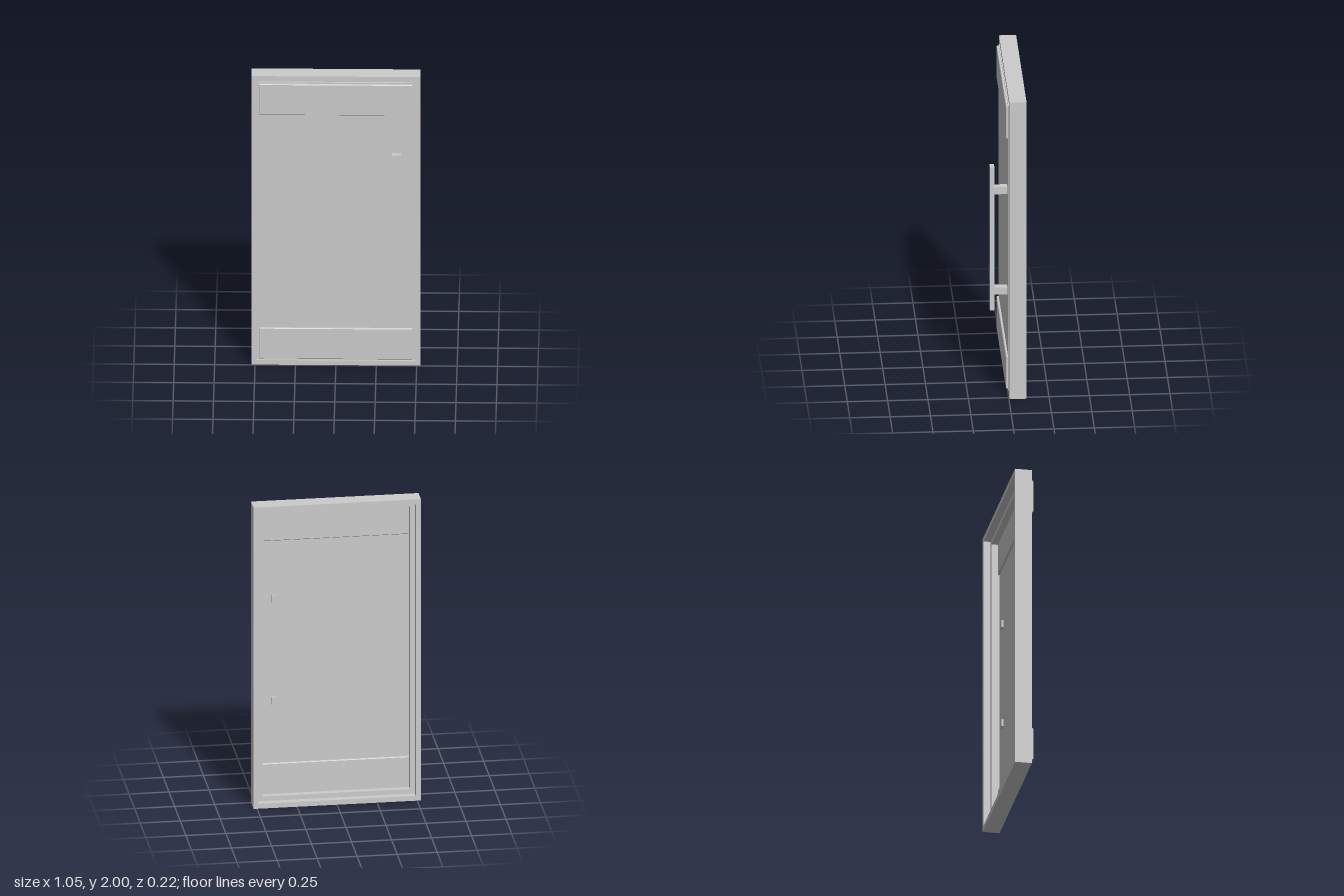
import * as THREE from 'three';

const material = new THREE.MeshStandardMaterial({ color: 0xcccccc, flatShading: true });

// Rectangle path given by its left, right, bottom and top edges
function rect(path, x0, x1, y0, y1) {
  path.moveTo(x0, y0);
  path.lineTo(x1, y0);
  path.lineTo(x1, y1);
  path.lineTo(x0, y1);
  path.closePath();
  return path;
}

function add(group, name, geometry) {
  const mesh = new THREE.Mesh(geometry, material);
  mesh.name = name;
  group.add(mesh);
  return mesh;
}

// Box given by its limits on each axis
function box(group, name, [x0, x1], [y0, y1], [z0, z1]) {
  const mesh = add(group, name, new THREE.BoxGeometry(x1 - x0, y1 - y0, z1 - z0));
  mesh.position.set((x0 + x1) / 2, (y0 + y1) / 2, (z0 + z1) / 2);
  return mesh;
}

// Rectangular ring: outer half width hw, inset from the floor and top, border width w
function ring(group, name, hw, inset, w, z0, z1) {
  const shape = rect(new THREE.Shape(), -hw, hw, inset, 2 - inset);
  shape.holes.push(rect(new THREE.Path(), -hw + w, hw - w, inset + w, 2 - inset - w));
  const geometry = new THREE.ExtrudeGeometry(shape, { depth: z1 - z0, bevelEnabled: false });
  geometry.translate(0, 0, z0);
  return add(group, name, geometry);
}

// Rail with small chamfers, clamping the leaf on both faces
function rail(group, name, y0, y1) {
  const b = 0.004, z0 = -0.026, z1 = 0.015;
  const shape = rect(new THREE.Shape(), -0.475 + b, 0.475 - b, y0 + b, y1 - b);
  const geometry = new THREE.ExtrudeGeometry(shape, {
    depth: z1 - z0 - 2 * b, bevelEnabled: true, bevelSize: b, bevelThickness: b, bevelSegments: 1,
  });
  geometry.translate(0, 0, z0 + b);
  return add(group, name, geometry);
}

export function createModel() {
  const door = new THREE.Group();
  door.name = 'door';

  // Frame with a stop running round the inside, behind the leaf
  const frame = new THREE.Group();
  frame.name = 'frame';
  ring(frame, 'frameSurround', 0.523, 0, 0.032, -0.11, -0.004);
  ring(frame, 'frameStop', 0.491, 0.032, 0.03, -0.066, -0.027);
  door.add(frame);

  // Thin leaf with a wide rail at the head and foot
  const leaf = new THREE.Group();
  leaf.name = 'leaf';
  box(leaf, 'leafPanel', [-0.481, 0.481], [0.04, 1.96], [-0.012, 0.001]);
  rail(leaf, 'bottomRail', 0.05, 0.263);
  rail(leaf, 'topRail', 1.74, 1.952);
  door.add(leaf);

  // Pull handle on two posts that pass through the leaf
  const handle = new THREE.Group();
  handle.name = 'handle';
  box(handle, 'handleBar', [0.349, 0.403], [0.55, 1.515], [0.082, 0.11]);
  for (const [name, y] of [['lowerPost', 0.677], ['upperPost', 1.354]]) {
    box(handle, name, [0.354, 0.399], [y - 0.024, y + 0.024], [-0.024, 0.082]);
  }
  door.add(handle);

  return door;
}
